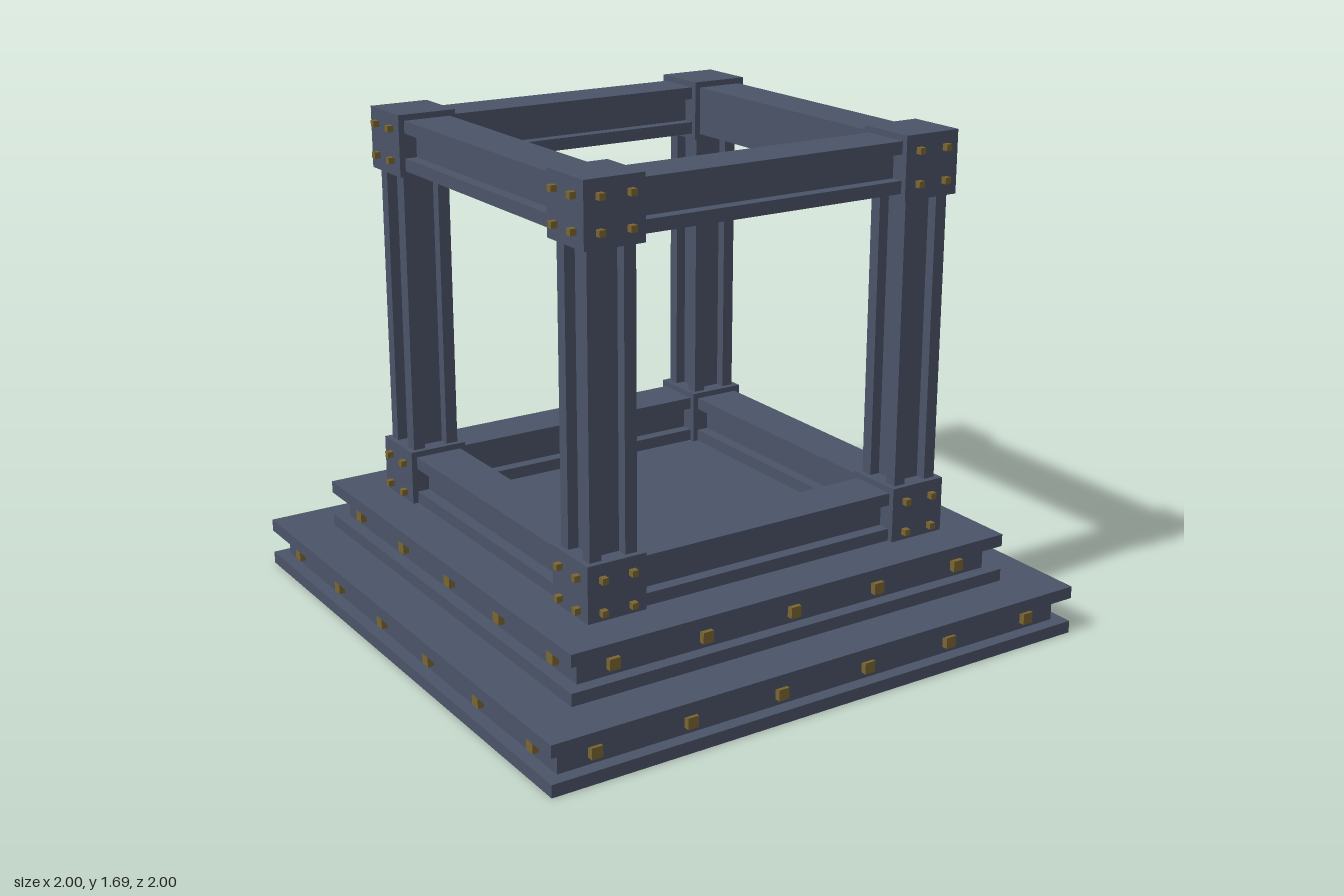
import * as THREE from 'three';

const steel = new THREE.MeshStandardMaterial({ color: 0x4b5468 });
steel.name = 'blueSteel';
const brass = new THREE.MeshStandardMaterial({ color: 0x7a6530 });
brass.name = 'brass';

const C = 0.583;      // centre line of the frame members
const W = 0.167;      // member width
const FLANGE = 0.042; // flange thickness
const LOW = 0.417, HIGH = 1.585;

function box(parent, name, size, pos, material = steel) {
  const mesh = new THREE.Mesh(new THREE.BoxGeometry(...size), material);
  mesh.name = name;
  mesh.position.set(...pos);
  parent.add(mesh);
  return mesh;
}

// Extrude a closed outline along z, centred on its length
function profile(points, length) {
  const shape = new THREE.Shape(points.map(([x, y]) => new THREE.Vector2(x, y)));
  const geo = new THREE.ExtrudeGeometry(shape, { depth: length, bevelEnabled: false });
  return geo.translate(0, 0, -length / 2);
}

// Rail with side channels; +x is its outer side
function railGeometry(length, innerChannel) {
  const h = W / 2, g = h - FLANGE, d = h - FLANGE;
  const pts = [[-h, -h], [h, -h], [h, -g], [d, -g], [d, g], [h, g], [h, h], [-h, h]];
  if (innerChannel) pts.push([-h, g], [-d, g], [-d, -g], [-h, -g]);
  return profile(pts, length);
}

// Post with a channel in each of its four faces
function postGeometry(length) {
  const h = W / 2, g = h - FLANGE, d = h - 0.036;
  const quarter = [[h, -g], [d, -g], [d, g], [h, g], [h, h]];
  const pts = [];
  for (let i = 0; i < 4; i++) {
    const c = Math.round(Math.cos(i * Math.PI / 2)), s = Math.round(Math.sin(i * Math.PI / 2));
    for (const [x, y] of quarter) pts.push([c * x - s * y, s * x + c * y]);
  }
  return profile(pts, length).rotateX(-Math.PI / 2);
}

// Stepped plinth tier: two slabs, a recessed core and rivets on all sides
function tier(name, y, half, rivets) {
  const g = new THREE.Group();
  g.name = name;
  const core = half - 0.044;
  box(g, 'lowerSlab', [half * 2, FLANGE, half * 2], [0, y + 0.021, 0]);
  box(g, 'recessedCore', [core * 2, 0.083, core * 2], [0, y + 0.0835, 0]);
  box(g, 'upperSlab', [half * 2, FLANGE, half * 2], [0, y + 0.146, 0]);
  for (let side = 0; side < 4; side++) {
    const face = new THREE.Group();
    face.name = 'rivetRow';
    face.rotation.y = side * Math.PI / 2;
    for (const x of rivets) box(face, 'rivet', [0.038, 0.038, 0.042], [x, y + 0.084, core], brass);
    g.add(face);
  }
  return g;
}

// Corner block with four rivets on each outer face
function corner(sx, y, sz) {
  const g = new THREE.Group();
  g.name = 'cornerJoint';
  g.position.set(sx * C, y, sz * C);
  box(g, 'cornerBlock', [0.207, 0.207, 0.207], [0, 0, 0]);
  for (const a of [-0.053, 0.053]) for (const b of [-0.053, 0.053]) {
    box(g, 'jointRivet', [0.042, 0.021, 0.021], [sx * 0.1035, a, b], brass);
    box(g, 'jointRivet', [0.021, 0.021, 0.042], [b, a, sz * 0.1035], brass);
  }
  return g;
}

export function createModel() {
  const model = new THREE.Group();
  model.name = 'cubeFrameOnPlinth';

  model.add(tier('lowerTier', 0, 1, [-0.833, -0.5, -0.167, 0.167, 0.5, 0.833]));
  model.add(tier('upperTier', 0.167, 0.833, [-0.667, -0.333, 0, 0.333, 0.667]));

  // Posts and corner joints
  const post = postGeometry(HIGH - LOW - 0.19);
  for (const sx of [-1, 1]) for (const sz of [-1, 1]) {
    const mesh = new THREE.Mesh(post, steel);
    mesh.name = 'post';
    mesh.position.set(sx * C, (LOW + HIGH) / 2, sz * C);
    model.add(mesh, corner(sx, LOW, sz), corner(sx, HIGH, sz));
  }

  // Rails round the bottom and top; the upper right one has a plain inner face
  for (const y of [LOW, HIGH]) for (let side = 0; side < 4; side++) {
    const a = side * Math.PI / 2;
    const rail = new THREE.Mesh(railGeometry(0.98, !(y === HIGH && side === 0)), steel);
    rail.name = 'rail';
    rail.rotation.y = a;
    rail.position.set(Math.cos(a) * C, y, -Math.sin(a) * C);
    model.add(rail);
  }
  return model;
}
